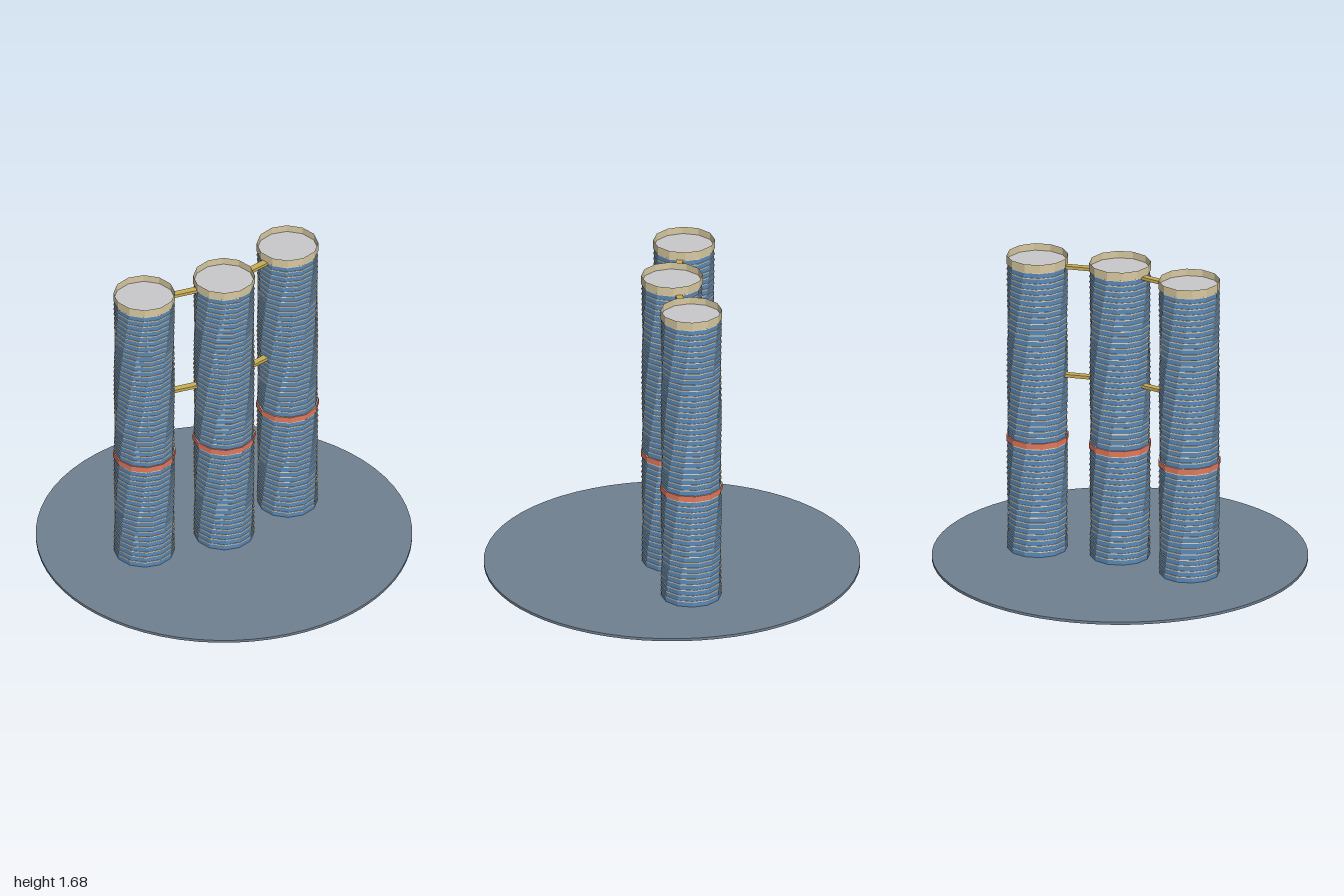
import * as THREE from 'three';
import { mergeGeometries } from 'three/addons/utils/BufferGeometryUtils.js';

const SIDES = 12, FLOORS = 50, BASE = 0.015, PITCH = 0.0324;
const TWIST = Math.PI / 2;
const TOP = BASE + FLOORS * PITCH;

function mat(name, color, extra = {}) {
  const m = new THREE.MeshStandardMaterial({ color, flatShading: true, ...extra });
  m.name = name;
  return m;
}

// Twelve-sided prism from y0 upward, turned about the tower axis
function prism(r, y0, h, turn = 0, open = false) {
  return new THREE.CylinderGeometry(r, r, h, SIDES, 1, open).rotateY(turn).translate(0, y0 + h / 2, 0);
}

function addMesh(parent, name, geometry, material) {
  const mesh = new THREE.Mesh(geometry, material);
  mesh.name = name;
  parent.add(mesh);
  return mesh;
}

export function createModel() {
  const model = new THREE.Group();
  model.name = 'twistedTowers';

  const ground = mat('slateGround', 0x708090);
  const glass = mat('blueGlass', 0x5a89b8);
  const slab = mat('creamSlab', 0xe4d6b8);
  const coral = mat('coralBand', 0xe07a5f);
  const sand = mat('sandParapet', 0xd9c9a0, { side: THREE.DoubleSide });
  const roof = mat('paleRoof', 0xc8c8cc);
  const brass = mat('brassBridge', 0xc9ad55);

  // Round ground plate
  addMesh(model, 'groundPlate', new THREE.CylinderGeometry(1, 1, BASE, 64).translate(0, BASE / 2, 0), ground);

  // Storeys turn a little further with each floor
  const storeys = [], slabs = [];
  for (let i = 0; i < FLOORS; i++) {
    const turn = TWIST * i / FLOORS, y = BASE + i * PITCH;
    storeys.push(prism(0.16, y, PITCH, turn));
    slabs.push(prism(0.1635, y + PITCH - 0.006, 0.006, turn));
  }
  const glassGeo = mergeGeometries(storeys), slabGeo = mergeGeometries(slabs);
  const bandGeo = prism(0.167, BASE + 19 * PITCH, PITCH, TWIST * 19 / FLOORS);
  const parapetGeo = prism(0.164, TOP - 0.004, 0.049, TWIST, true);
  const roofGeo = prism(0.163, TOP, 0.006, TWIST);

  // Three towers in a shallow arc
  const centres = [[-0.445, -0.083], [0, 0], [0.445, -0.083]];
  ['rightTower', 'middleTower', 'leftTower'].forEach((name, i) => {
    const tower = new THREE.Group();
    tower.name = name;
    tower.position.set(centres[i][0], 0, centres[i][1]);
    addMesh(tower, 'glassStoreys', glassGeo, glass);
    addMesh(tower, 'floorSlabs', slabGeo, slab);
    addMesh(tower, 'accentBand', bandGeo, coral);
    addMesh(tower, 'parapet', parapetGeo, sand);
    addMesh(tower, 'roof', roofGeo, roof);
    model.add(tower);
  });

  // Two levels of footbridges from the middle tower to each neighbour
  for (const side of [-1, 1]) {
    for (const y of [1.01, 1.626]) {
      const bridge = addMesh(model, 'footbridge', new THREE.BoxGeometry(0.16, 0.017, 0.036), brass);
      bridge.position.set(side * 0.2225, y, -0.0415);
      bridge.rotation.y = side * Math.atan2(0.083, 0.445);
    }
  }
  return model;
}
